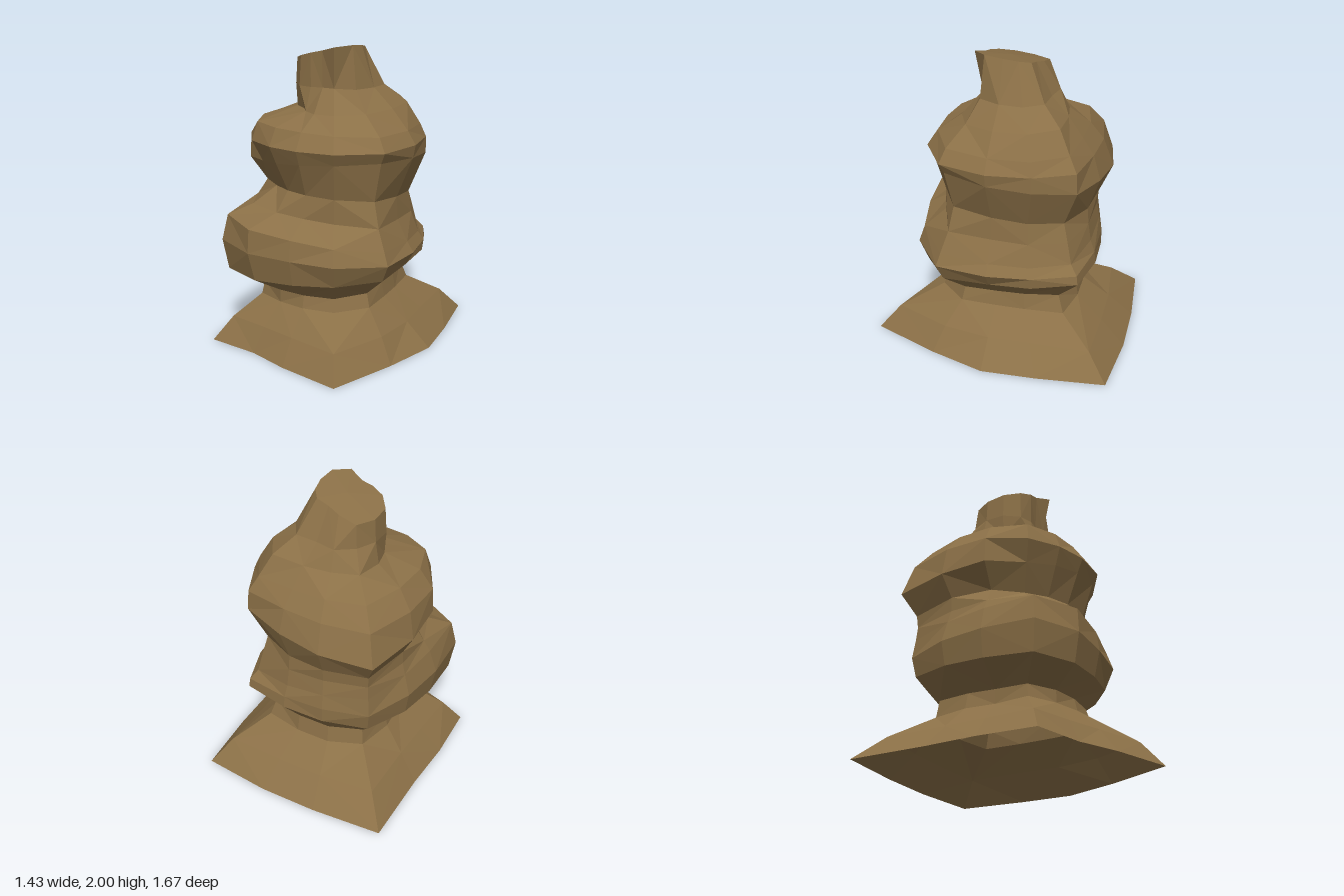
import * as THREE from 'three';

// Shared compass directions (degrees from front +z towards +x), placed on the rock's corners
const ANGLES = [0, 27, 58, 90, 118, 143, 170, 197, 224, 253, 282, 310, 335];
const N = ANGLES.length;

// A ring is a height, a tilt along x and z, and one radius per direction
const ring = (y, tiltX, tiltZ, ...radii) => radii.map((r, i) => {
  const a = THREE.MathUtils.degToRad(ANGLES[i]);
  const x = r * Math.sin(a), z = r * Math.cos(a);
  return [x, y + tiltX * x + tiltZ * z, z];
});

// Skins a stack of rings, with an optional apex closing the top
function loft(rings, apex) {
  const pos = rings.flat(2);
  const index = [];
  for (let i = 0; i < rings.length - 1; i++) {
    for (let j = 0; j < N; j++) {
      const k = (j + 1) % N;
      const a = i * N + j, b = i * N + k, c = a + N, d = b + N;
      if ((i + j) % 2) index.push(a, b, c, b, d, c);
      else index.push(a, b, d, a, d, c);
    }
  }
  if (apex) {
    const last = (rings.length - 1) * N;
    pos.push(...apex);
    for (let j = 0; j < N; j++) index.push(last + j, last + (j + 1) % N, last + N);
  }
  const g = new THREE.BufferGeometry();
  g.setAttribute('position', new THREE.Float32BufferAttribute(pos, 3));
  g.setIndex(index);
  const flat = g.toNonIndexed();
  flat.computeVertexNormals();
  return flat;
}

export function createModel() {
  const group = new THREE.Group();
  group.name = 'rockStack';
  const stone = new THREE.MeshStandardMaterial({ color: 0x8b7047, flatShading: true, side: THREE.DoubleSide });
  stone.name = 'brownStone';

  const add = (name, rings, apex) => {
    const mesh = new THREE.Mesh(loft(rings, apex), stone);
    mesh.name = name;
    group.add(mesh);
  };

  // Seams shared by neighbouring parts; the groove cuts deepest at the front right
  const neck = ring(0.41, 0, -0.04, 0.43, 0.45, 0.42, 0.36, 0.40, 0.52, 0.48, 0.48, 0.50, 0.40, 0.38, 0.48, 0.45);
  const groove = ring(1.03, -0.03, 0.08, 0.40, 0.45, 0.50, 0.46, 0.50, 0.56, 0.55, 0.58, 0.67, 0.55, 0.47, 0.39, 0.38);
  const shoulder = ring(1.58, 0.03, -0.05, 0.28, 0.33, 0.39, 0.42, 0.48, 0.50, 0.40, 0.37, 0.38, 0.30, 0.25, 0.20, 0.23);

  // Flared four-cornered foot, open underneath
  add('base', [
    ring(0, 0, 0, 0.72, 0.94, 0.71, 0.71, 0.77, 1.02, 0.85, 0.85, 1.04, 0.72, 0.70, 0.84, 0.67),
    ring(0.16, 0, 0, 0.60, 0.79, 0.60, 0.55, 0.60, 0.85, 0.68, 0.68, 0.82, 0.57, 0.55, 0.70, 0.58),
    ring(0.31, 0, 0, 0.45, 0.48, 0.45, 0.38, 0.42, 0.57, 0.50, 0.50, 0.52, 0.42, 0.38, 0.50, 0.45),
    neck,
  ]);

  // Lower boulder with the ledge sloping across its front
  add('lowerBoulder', [
    neck,
    ring(0.55, 0.02, -0.07, 0.58, 0.58, 0.60, 0.53, 0.60, 0.71, 0.62, 0.61, 0.66, 0.59, 0.60, 0.72, 0.65),
    ring(0.68, -0.05, 0, 0.62, 0.64, 0.66, 0.585, 0.61, 0.70, 0.61, 0.61, 0.69, 0.62, 0.635, 0.76, 0.70),
    ring(0.79, -0.13, 0.04, 0.60, 0.60, 0.62, 0.54, 0.57, 0.64, 0.58, 0.59, 0.67, 0.575, 0.585, 0.72, 0.69),
    ring(0.90, -0.08, 0.03, 0.43, 0.45, 0.55, 0.47, 0.52, 0.60, 0.56, 0.57, 0.66, 0.55, 0.54, 0.55, 0.47),
    groove,
  ]);

  // Upper boulder, overhanging lowest at the back right
  add('upperBoulder', [
    groove,
    ring(1.24, 0.08, 0.07, 0.48, 0.52, 0.57, 0.57, 0.61, 0.68, 0.63, 0.67, 0.78, 0.635, 0.59, 0.48, 0.47),
    ring(1.37, 0, 0, 0.52, 0.56, 0.61, 0.585, 0.61, 0.67, 0.58, 0.60, 0.70, 0.60, 0.58, 0.55, 0.52),
    ring(1.48, -0.04, 0, 0.45, 0.49, 0.55, 0.53, 0.57, 0.60, 0.50, 0.51, 0.58, 0.50, 0.49, 0.51, 0.47),
    shoulder,
  ]);

  // Knob on top, pinched at the front
  add('topKnob', [
    shoulder,
    ring(1.72, 0, 0, 0.16, 0.19, 0.27, 0.29, 0.33, 0.34, 0.28, 0.31, 0.29, 0.27, 0.26, 0.23, 0.19),
    ring(1.94, 0.23, 0.11, 0.17, 0.24, 0.23, 0.20, 0.20, 0.20, 0.17, 0.20, 0.27, 0.26, 0.25, 0.22, 0.19),
  ], [0, 1.95, 0]);

  return group;
}
